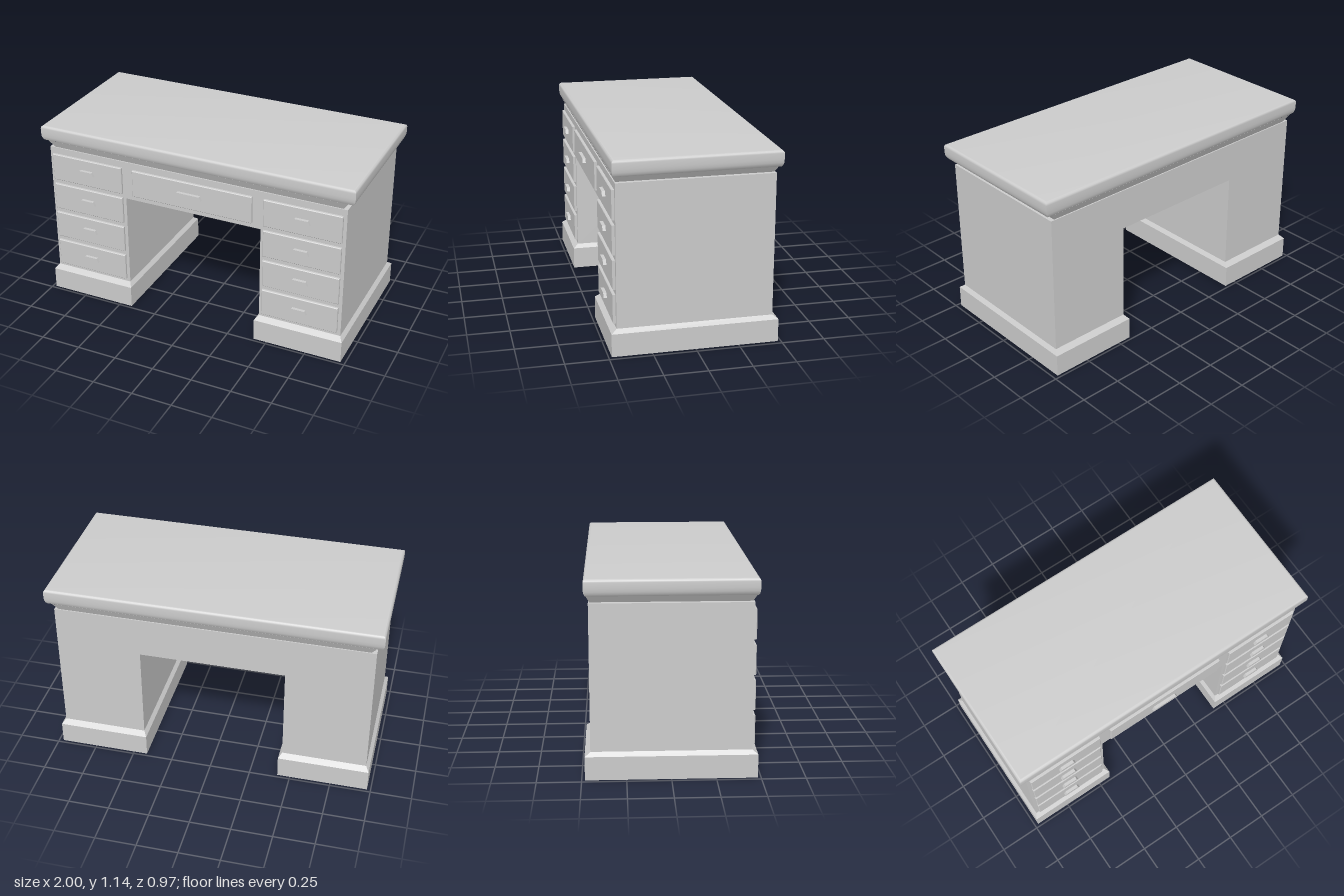
import * as THREE from 'three';
import { toCreasedNormals } from 'three/addons/utils/BufferGeometryUtils.js';

const material = new THREE.MeshStandardMaterial({ color: 0xcccccc });
const shellMaterial = new THREE.MeshStandardMaterial({ color: 0xcccccc, side: THREE.DoubleSide });

// Stacks rectangles [y, halfX, halfZ] from bottom to top; the caps are optional.
function rectLoft(rows, capBottom, capTop) {
  const corners = [[-1, 1], [1, 1], [1, -1], [-1, -1]];
  const point = ([y, hx, hz], i) => [corners[i % 4][0] * hx, y, corners[i % 4][1] * hz];
  const pos = [];
  const quad = (a, b, c, d) => pos.push(...a, ...b, ...c, ...a, ...c, ...d);
  for (let r = 0; r < rows.length - 1; r++) {
    for (let i = 0; i < 4; i++) {
      quad(point(rows[r], i), point(rows[r], i + 1), point(rows[r + 1], i + 1), point(rows[r + 1], i));
    }
  }
  const first = rows[0], last = rows[rows.length - 1];
  if (capBottom) quad(point(first, 3), point(first, 2), point(first, 1), point(first, 0));
  if (capTop) quad(point(last, 0), point(last, 1), point(last, 2), point(last, 3));
  const geometry = new THREE.BufferGeometry();
  geometry.setAttribute('position', new THREE.Float32BufferAttribute(pos, 3));
  geometry.computeVertexNormals();
  return toCreasedNormals(geometry, 0.6);
}

function addMesh(parent, name, geometry, x = 0, y = 0, z = 0, mat = material) {
  const mesh = new THREE.Mesh(geometry, mat);
  mesh.name = name;
  mesh.position.set(x, y, z);
  parent.add(mesh);
  return mesh;
}

// Drawer front with a slightly chamfered rim and a tapered pull
function makeDrawer(width, height, pullWidth) {
  const drawer = new THREE.Group();
  drawer.name = 'drawer';
  const w = width / 2, h = height / 2, c = 0.004;
  const panel = rectLoft([[-0.002, w, h], [0.012, w, h], [0.016, w - c, h - c]], false, true);
  panel.rotateX(Math.PI / 2);
  addMesh(drawer, 'drawerFront', panel);

  const p = pullWidth / 2, t = p - 0.012;
  const outline = new THREE.Shape([
    new THREE.Vector2(-p, -0.013), new THREE.Vector2(p, -0.013),
    new THREE.Vector2(t, 0.014), new THREE.Vector2(-t, 0.014),
  ]);
  const pull = new THREE.ExtrudeGeometry(outline, { depth: 0.02, bevelEnabled: false });
  addMesh(drawer, 'drawerPull', pull, 0, 0.006, 0.015);
  return drawer;
}

export function createModel() {
  const desk = new THREE.Group();
  desk.name = 'desk';

  // Desktop slab with rounded edges
  const slab = [[1.045, 0.985, 0.464], [1.055, 0.993, 0.47], [1.07, 0.998, 0.474], [1.09, 1, 0.475]];
  for (let i = 0; i <= 6; i++) {
    const a = (i / 6) * Math.PI / 2, r = 0.018;
    slab.push([1.122 + r * Math.sin(a), 1 - r + r * Math.cos(a), 0.475 - r + r * Math.cos(a)]);
  }
  addMesh(desk, 'desktop', rectLoft(slab, true, true));

  // Flared moulding below the desktop
  addMesh(desk, 'cornice', rectLoft([[0.998, 0.925, 0.442], [1.046, 0.957, 0.466]], false, false));

  const carcass = new THREE.Group();
  carcass.name = 'carcass';
  carcass.position.x = -0.003;
  desk.add(carcass);

  // Two hollow pedestals on wider plinths, open underneath
  const plinth = rectLoft([[0, 0.278, 0.482], [0.136, 0.278, 0.482], [0.16, 0.258, 0.45]], false, false);
  const body = rectLoft([[0.16, 0.258, 0.45], [1, 0.258, 0.45]], false, true);
  for (const side of [-1, 1]) {
    const pedestal = new THREE.Group();
    pedestal.name = side > 0 ? 'leftPedestal' : 'rightPedestal';
    pedestal.position.x = side * 0.697;
    addMesh(pedestal, 'plinth', plinth, 0, 0, 0, shellMaterial);
    addMesh(pedestal, 'pedestalBody', body, 0, 0, 0, shellMaterial);
    for (let i = 0; i < 4; i++) {
      const drawer = makeDrawer(0.475, 0.172, 0.105);
      drawer.position.set(0, 0.268 + i * 0.2015, 0.45);
      pedestal.add(drawer);
    }
    carcass.add(pedestal);
  }

  // Bridge over the kneehole with the wide drawer
  addMesh(carcass, 'kneeholeBridge', new THREE.BoxGeometry(0.878, 0.245, 0.9), 0, 0.8775, 0);
  const wideDrawer = makeDrawer(0.775, 0.172, 0.17);
  wideDrawer.name = 'centreDrawer';
  wideDrawer.position.set(0, 0.8725, 0.45);
  wideDrawer.children[1].position.x = -0.01;
  carcass.add(wideDrawer);

  return desk;
}
